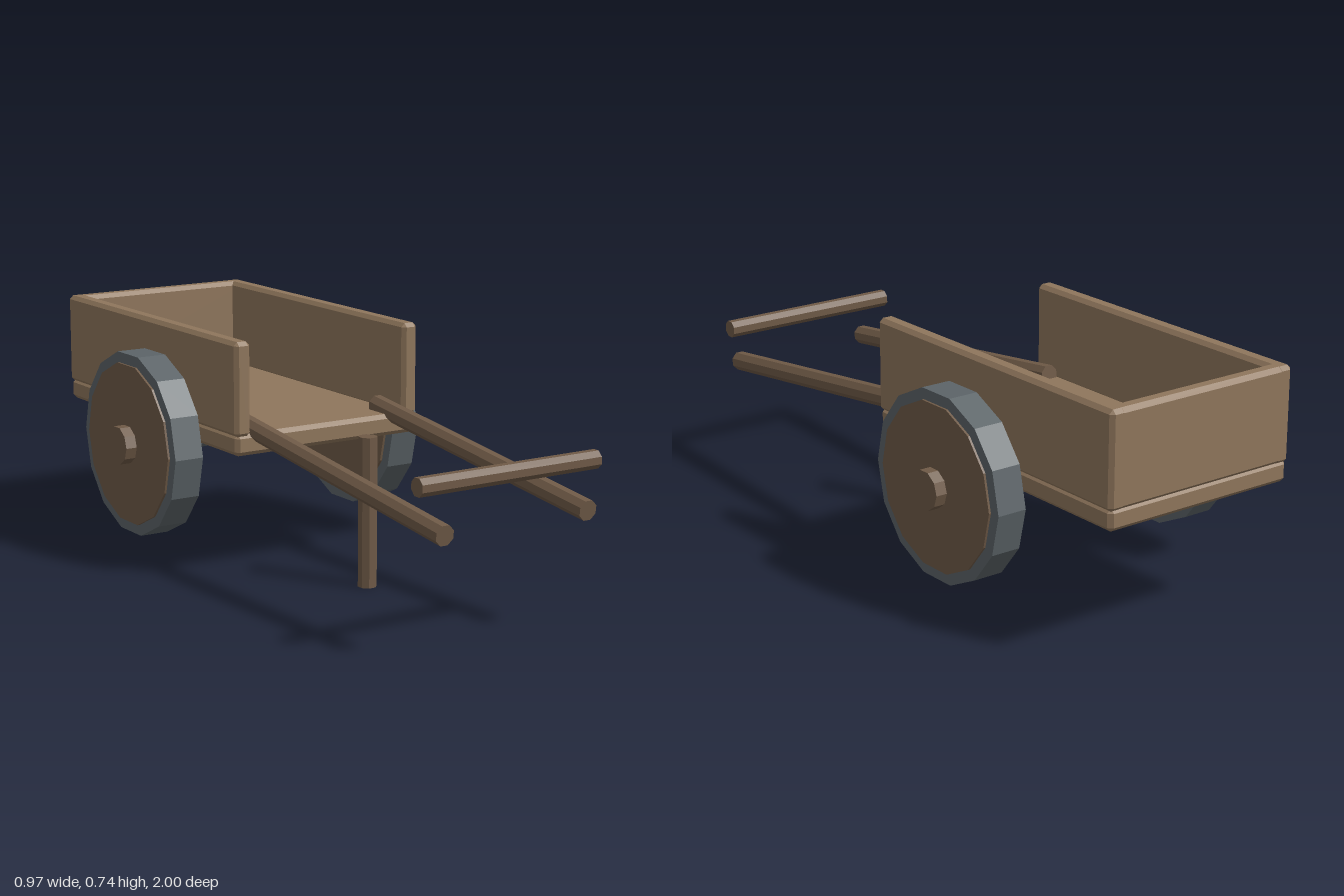
import * as THREE from 'three';
import { ConvexGeometry } from 'three/addons/geometries/ConvexGeometry.js';

const material = (color) => new THREE.MeshStandardMaterial({ color, flatShading: true });

// Box given by its min and max corners, with every edge chamfered
function chamferBox([x0, y0, z0], [x1, y1, z1], b) {
  const half = [(x1 - x0) / 2, (y1 - y0) / 2, (z1 - z0) / 2];
  const points = [];
  for (const sx of [-1, 1]) for (const sy of [-1, 1]) for (const sz of [-1, 1]) {
    for (let axis = 0; axis < 3; axis++) {
      const h = half.map((v, i) => (i === axis ? v : v - b));
      points.push(new THREE.Vector3(sx * h[0], sy * h[1], sz * h[2]));
    }
  }
  return new ConvexGeometry(points).translate((x0 + x1) / 2, (y0 + y1) / 2, (z0 + z1) / 2);
}

// Octagonal pole running between two points
function pole(from, to, radius) {
  const a = new THREE.Vector3(...from);
  const b = new THREE.Vector3(...to);
  const dir = b.clone().sub(a);
  const g = new THREE.CylinderGeometry(radius, radius, dir.length(), 8);
  g.rotateY(Math.PI / 8);
  const turn = new THREE.Quaternion().setFromUnitVectors(new THREE.Vector3(0, 1, 0), dir.normalize());
  const mid = a.add(b).multiplyScalar(0.5);
  return g.applyQuaternion(turn).translate(mid.x, mid.y, mid.z);
}

// Disc or drum lying along x, centred on the axle line
const AXLE_Y = 0.368, AXLE_Z = -0.38;
function drum(radius, x0, x1, sides) {
  return new THREE.CylinderGeometry(radius, radius, x1 - x0, sides)
    .rotateZ(Math.PI / 2)
    .translate((x0 + x1) / 2, AXLE_Y, AXLE_Z);
}

export function createModel() {
  const cart = new THREE.Group();
  cart.name = 'handcart';
  const plank = material(0x8f765c);
  const darkWood = material(0x6f5a47);
  const iron = material(0x5c6468);

  const add = (name, geometry, mat, parent = cart) => {
    const mesh = new THREE.Mesh(geometry, mat);
    mesh.name = name;
    parent.add(mesh);
  };

  // Open-fronted bed
  add('floor', chamferBox([-0.325, 0.395, -0.997], [0.325, 0.462, 0.065], 0.013), plank);
  add('backWall', chamferBox([-0.328, 0.453, -1], [0.328, 0.74, -0.947], 0.013), plank);

  for (const side of [1, -1]) {
    const name = side > 0 ? 'left' : 'right';
    const span = (a, b) => (side > 0 ? [a, b] : [-b, -a]);

    const [w0, w1] = span(0.274, 0.328);
    add(name + 'Wall', chamferBox([w0, 0.453, -1], [w1, 0.74, 0.068], 0.012), plank);

    // Sloping shaft
    add(name + 'Shaft', pole([side * 0.245, 0.475, -0.033], [side * 0.245, 0.354, 0.9965], 0.031), darkWood);

    // Wheel: tyre, wooden disc standing slightly proud of it, and hub
    const wheel = new THREE.Group();
    wheel.name = name + 'Wheel';
    add('tyre', drum(0.288, ...span(0.349, 0.444), 14), iron, wheel);
    add('disc', drum(0.254, ...span(0.341, 0.451), 14), darkWood, wheel);
    add('hub', drum(0.06, ...span(0.306, 0.487), 10), darkWood, wheel);
    cart.add(wheel);
  }

  // Axle, push bar and prop leg
  add('axle', drum(0.04, -0.32, 0.32, 10), iron);
  add('pushBar', pole([-0.306, 0.485, 0.952], [0.306, 0.485, 0.952], 0.028), darkWood);
  add('propLeg', pole([0, 0, 0.277], [0, 0.46, 0.277], 0.029), darkWood);

  return cart;
}
